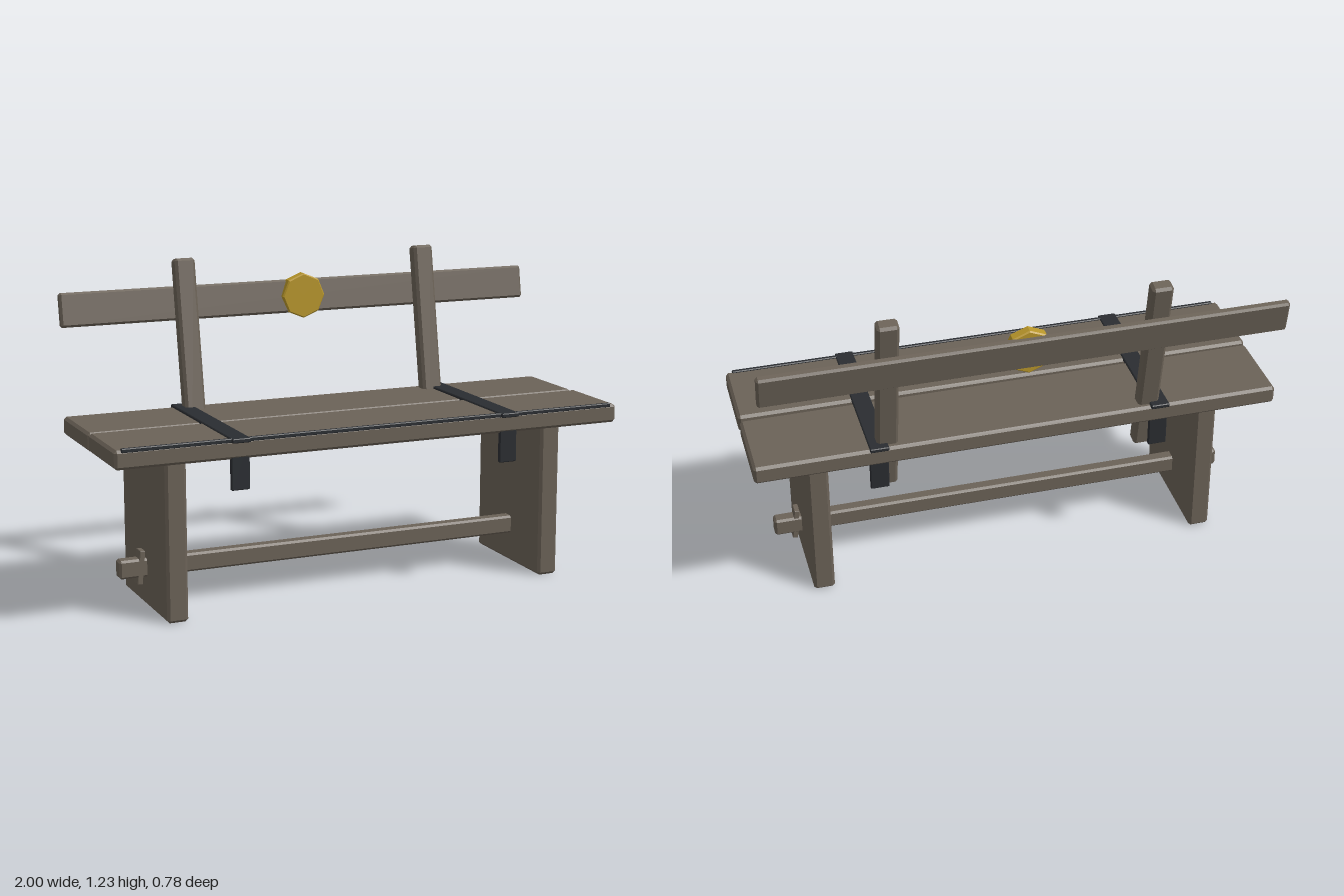
import * as THREE from 'three';
import { ConvexGeometry } from 'three/addons/geometries/ConvexGeometry.js';

const wood = new THREE.MeshStandardMaterial({ color: 0x6b6257, flatShading: true });
const iron = new THREE.MeshStandardMaterial({ color: 0x2a2d31, flatShading: true });
const brass = new THREE.MeshStandardMaterial({ color: 0xb8962a, flatShading: true });

// Box with chamfered edges: three corner points per corner, wrapped by a hull
function chamferBox(w, h, d, c) {
  const points = [];
  for (const x of [-1, 1]) for (const y of [-1, 1]) for (const z of [-1, 1]) {
    const [X, Y, Z] = [w / 2, h / 2, d / 2];
    points.push(
      new THREE.Vector3(x * X, y * (Y - c), z * (Z - c)),
      new THREE.Vector3(x * (X - c), y * Y, z * (Z - c)),
      new THREE.Vector3(x * (X - c), y * (Y - c), z * Z));
  }
  return new ConvexGeometry(points);
}

export function createModel() {
  const bench = new THREE.Group();
  bench.name = 'bench';

  function block(name, material, size, position, chamfer = 0.01, rotation = [0, 0, 0]) {
    const mesh = new THREE.Mesh(chamferBox(...size, chamfer), material);
    mesh.name = name;
    mesh.position.set(...position);
    mesh.rotation.set(...rotation);
    bench.add(mesh);
    return mesh;
  }

  const lean = -THREE.MathUtils.degToRad(10);

  // Seat planks, the rear one very slightly askew
  block('frontSeatPlank', wood, [2, 0.07, 0.315], [0, 0.639, 0.218]);
  block('backSeatPlank', wood, [1.995, 0.07, 0.319], [0, 0.636, -0.113], 0.01, [0, 0.003, 0]);
  block('seatEdgeStrip', iron, [1.95, 0.016, 0.016], [0, 0.672, 0.368], 0.003);

  // Stretcher running through both legs
  block('stretcher', wood, [1.8, 0.07, 0.052], [0, 0.155, 0.053], 0.008);

  for (const [side, s] of [['left', 1], ['right', -1]]) {
    // Slab leg and the wedge that locks the stretcher
    block(side + 'Leg', wood, [0.08, 0.605, 0.5], [s * 0.755, 0.308, 0.055]);
    block(side + 'Wedge', wood, [0.02, 0.128, 0.048], [s * 0.817, 0.157, 0.055], 0.002, [0, 0, s * 0.1]);

    // Iron strap over the seat with a tab hanging at each end
    block(side + 'Strap', iron, [0.07, 0.016, 0.67], [s * 0.536, 0.672, 0.053], 0.003);
    block(side + 'FrontStrapTab', iron, [0.07, 0.185, 0.017], [s * 0.536, 0.582, 0.363], 0.003);
    block(side + 'BackStrapTab', iron, [0.07, 0.185, 0.017], [s * 0.536, 0.582, -0.253], 0.003);

    // Leaning back post
    block(side + 'BackPost', wood, [0.08, 0.775, 0.058], [s * 0.5, 0.849, -0.252], 0.01, [lean, 0, 0]);
  }

  // Back rail and its eight-sided disc
  block('backRail', wood, [1.95, 0.13, 0.034], [0, 1.054, -0.362], 0.008, [lean, 0, 0]);

  const r = 0.088;
  const profile = [[0, -0.021], [r - 0.005, -0.021], [r, -0.016], [r, 0.016], [r - 0.005, 0.021], [0, 0.021]]
    .map(([x, y]) => new THREE.Vector2(x, y));
  const disc = new THREE.Mesh(new THREE.LatheGeometry(profile, 8), brass);
  disc.name = 'backDisc';
  disc.rotation.x = Math.PI / 2;
  disc.position.set(0, 1.057, -0.347);
  bench.add(disc);

  return bench;
}
